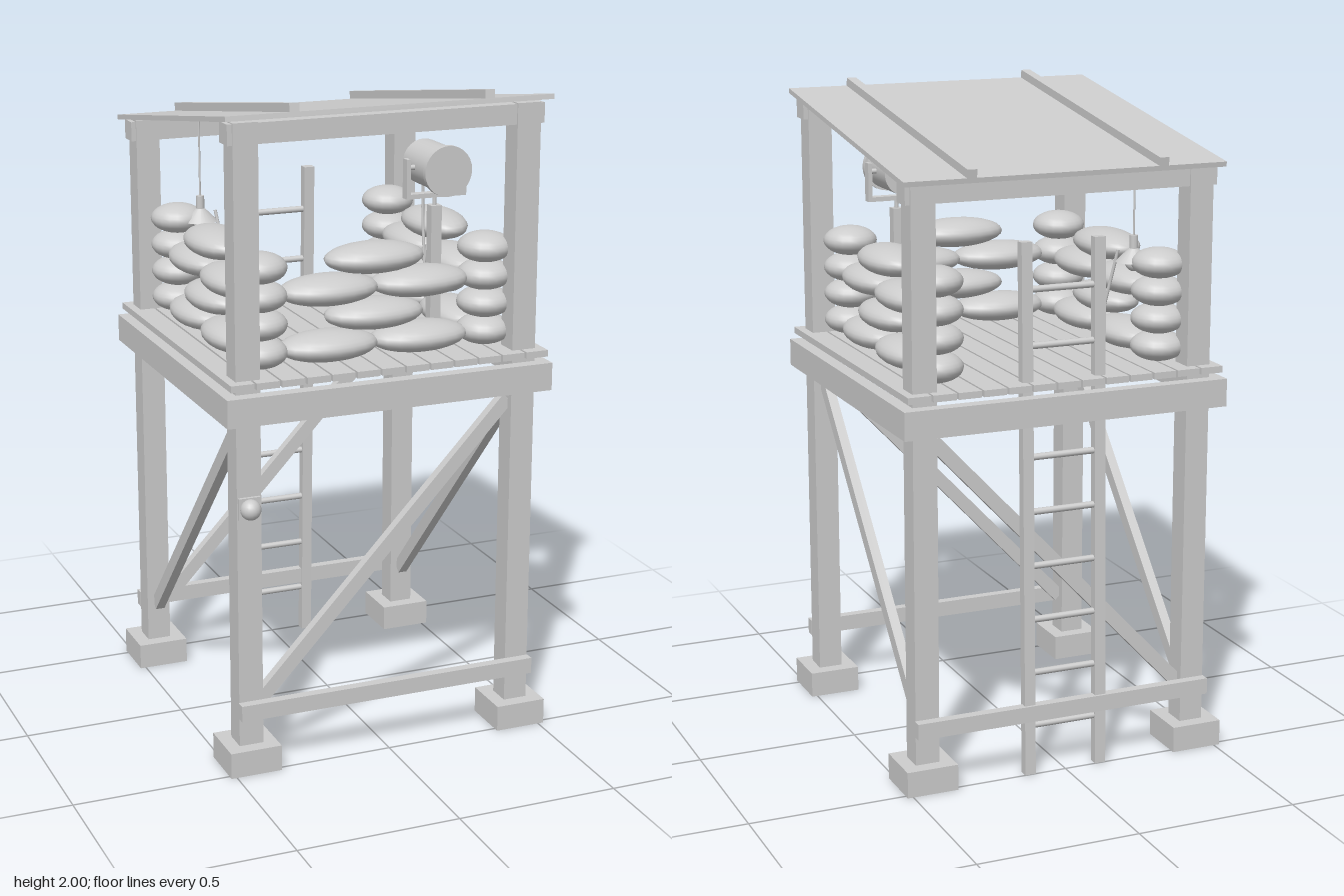
import * as THREE from 'three';

export function createModel() {
  const model = new THREE.Group();
  const grey = new THREE.MeshStandardMaterial({ color: 0xcccccc });
  grey.name = 'plain grey';

  const add = (name, geometry, x, y, z, parent = model) => {
    const mesh = new THREE.Mesh(geometry, grey);
    mesh.name = name;
    mesh.position.set(x, y, z);
    parent.add(mesh);
    return mesh;
  };
  const box = (name, w, h, d, x, y, z, parent) =>
    add(name, new THREE.BoxGeometry(w, h, d), x, y, z, parent);
  // Round bar between two points
  const rod = (name, a, b, r, parent) => {
    const p = new THREE.Vector3(...a), q = new THREE.Vector3(...b);
    const dir = q.clone().sub(p);
    const mid = p.clone().add(q).multiplyScalar(0.5);
    const mesh = add(name, new THREE.CylinderGeometry(r, r, dir.length(), 10), mid.x, mid.y, mid.z, parent);
    mesh.quaternion.setFromUnitVectors(new THREE.Vector3(0, 1, 0), dir.normalize());
    return mesh;
  };

  // Legs and footings; the front pair is taller
  for (const sx of [-1, 1]) for (const sz of [-1, 1]) {
    const h = sz > 0 ? 1.95 : 1.815;
    box('leg', 0.075, h, 0.075, sx * 0.438, h / 2, sz * 0.438);
    box('footing', 0.16, 0.08, 0.16, sx * 0.438, 0.04, sz * 0.438);
  }

  // Low rails, platform beams and diagonal braces
  const braceAngle = Math.atan2(0.85, 0.8);
  for (const s of [-1, 1]) {
    box('lowRail', 0.955, 0.05, 0.03, 0, 0.195, s * 0.49);
    box('platformBeam', 1.03, 0.085, 0.04, 0, 1.128, s * 0.495);
    box('platformSideBeam', 0.04, 0.085, 0.95, s * 0.495, 1.128, 0);
    box('brace', 1.17, 0.042, 0.03, 0, 0.63, s * 0.438).rotation.z = braceAngle;
    box('sideBrace', 0.03, 0.042, 1.17, s * 0.438, 0.63, 0).rotation.x = -braceAngle;
  }

  // Deck boards
  const pitch = 1.01 / 13;
  for (let i = 0; i < 13; i++)
    box('deckBoard', 0.071, 0.02, 1.02, (i - 6) * pitch, 1.2, 0);

  // Sandbag walls on three sides, with a stack in each corner
  const bagGeometry = new THREE.SphereGeometry(1, 20, 14);
  const bag = (x, y, z, a, b) => add('sandbag', bagGeometry, x, y, z).scale.set(a, 0.046, b);
  for (let row = 0; row < 4; row++) {
    const y = 1.256 + row * 0.084;
    for (const t of row % 2 ? [0] : [-0.145, 0.145]) {
      bag(t, y, 0.36, 0.155, 0.09);
      bag(0.36, y, t, 0.09, 0.155);
      bag(-0.36, y, t, 0.09, 0.155);
    }
    for (const sx of [-1, 1]) for (const sz of [-1, 1])
      bag(sx * 0.36, y, sz * 0.36, 0.084, 0.084);
  }

  // Leaning ladder at the back
  const ladder = new THREE.Group();
  ladder.name = 'ladder';
  ladder.position.z = -0.487;
  ladder.rotation.x = 0.024;
  model.add(ladder);
  for (const s of [-1, 1]) box('ladderRail', 0.034, 1.62, 0.03, s * 0.116, 0.81, 0, ladder);
  for (let i = 0; i < 9; i++) {
    const y = 0.152 + i * 0.166;
    rod('rung', [-0.11, y, 0], [0.11, y, 0], 0.01, ladder);
  }

  // Sloping roof with two battens and a loose panel underneath
  const roof = new THREE.Group();
  roof.name = 'roof';
  roof.position.y = 1.89;
  roof.rotation.x = -0.154;
  model.add(roof);
  box('roofSheet', 1.01, 0.015, 1.008, 0, 0, 0, roof);
  for (const s of [-1, 1]) box('batten', 0.03, 0.025, 1.008, s * 0.3, 0.02, 0, roof);
  box('underPanel', 0.4, 0.008, 0.34, 0.165, -0.018, 0.19, roof).rotation.y = 0.15;
  box('frontHeader', 0.98, 0.06, 0.064, 0, 1.917, 0.438);
  box('backHeader', 0.98, 0.06, 0.064, 0, 1.78, -0.438);

  // Searchlight on a post with a forked mount
  const light = new THREE.Group();
  light.name = 'searchlight';
  light.position.set(0.245, 0, 0.247);
  model.add(light);
  box('lightPost', 0.034, 0.41, 0.034, 0, 1.415, 0, light);
  rod('pivotPin', [0, 1.61, 0], [0, 1.65, 0], 0.006, light);
  box('forkBase', 0.195, 0.014, 0.03, 0, 1.652, 0, light);
  for (const s of [-1, 1]) {
    box('forkArm', 0.013, 0.12, 0.03, s * 0.091, 1.705, 0, light);
    rod('trunnion', [s * 0.065, 1.738, 0], [s * 0.095, 1.738, 0], 0.008, light);
  }
  rod('lampBody', [0, 1.738, -0.082], [0, 1.738, 0.085], 0.068, light).geometry =
    new THREE.CylinderGeometry(0.068, 0.068, 0.167, 28);
  rod('lampRim', [0, 1.738, 0.08], [0, 1.738, 0.097], 0.075, light).geometry =
    new THREE.CylinderGeometry(0.076, 0.076, 0.017, 28);
  const cable = new THREE.CatmullRomCurve3([
    new THREE.Vector3(0, 1.69, -0.08), new THREE.Vector3(0, 1.6, -0.083),
    new THREE.Vector3(0, 1.46, -0.07), new THREE.Vector3(0, 1.32, -0.055),
  ]);
  add('lightCable', new THREE.TubeGeometry(cable, 16, 0.005, 6), 0, 0, 0, light);

  // Hanging lamp and its pull rod
  rod('lampCord', [-0.305, 1.58, -0.3], [-0.305, 1.845, -0.3], 0.003);
  rod('lampSocket', [-0.305, 1.535, -0.3], [-0.305, 1.585, -0.3], 0.013);
  add('lampShade', new THREE.CylinderGeometry(0.014, 0.055, 0.04, 20), -0.305, 1.525, -0.3);
  add('lampBulb', new THREE.SphereGeometry(0.025, 14, 10), -0.305, 1.5, -0.3);
  rod('pullRod', [-0.263, 1.54, -0.28], [-0.235, 1.35, -0.24], 0.005);

  // Signal lamp on the front leg
  box('signalPlate', 0.066, 0.066, 0.012, -0.44, 0.828, 0.48);
  add('signalLamp', new THREE.SphereGeometry(0.031, 18, 12), -0.44, 0.828, 0.494);

  return model;
}
